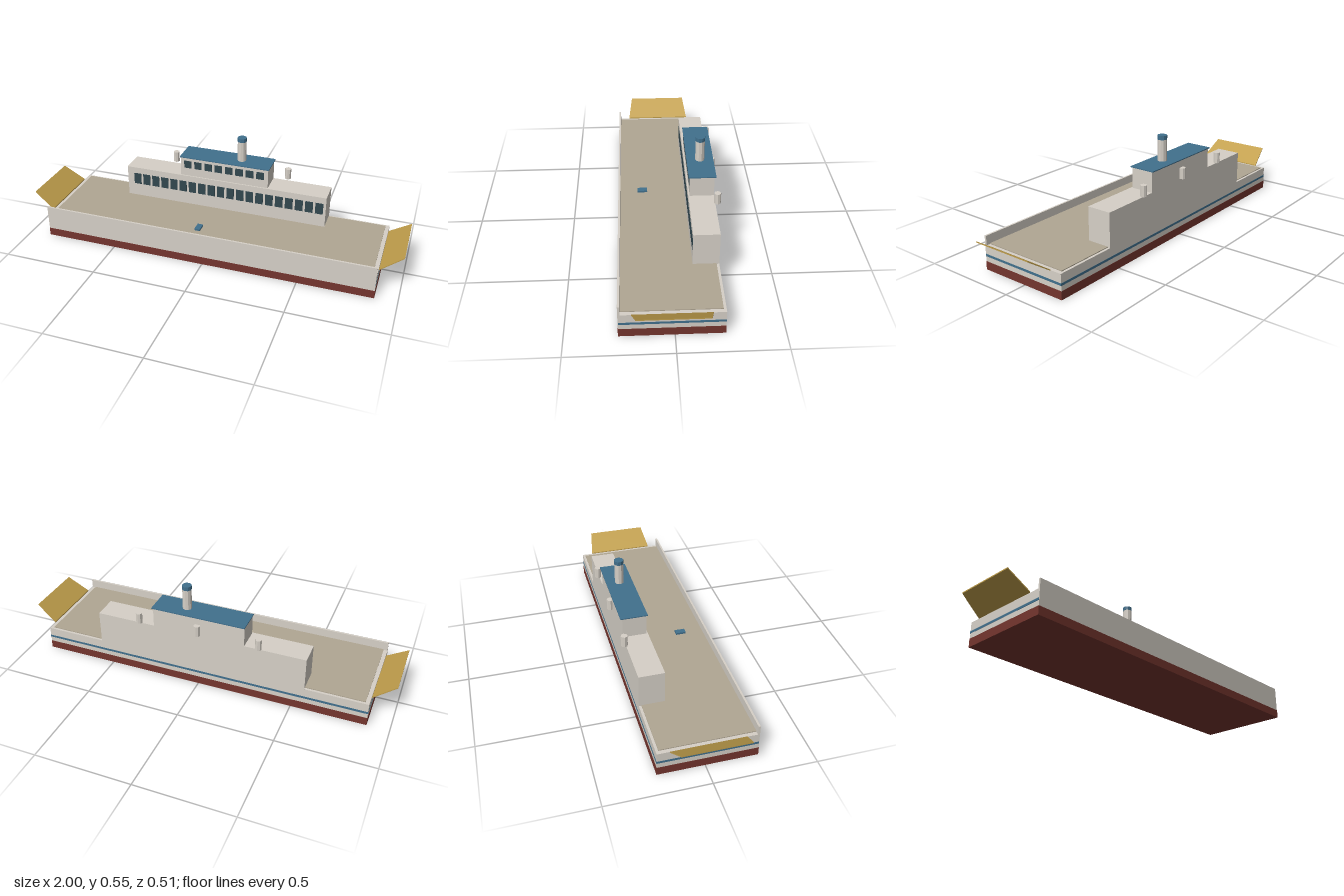
import * as THREE from 'three';

const mat = (name, color) => {
  const m = new THREE.MeshStandardMaterial({ color });
  m.name = name;
  return m;
};

export function createModel() {
  const ship = new THREE.Group();
  ship.name = 'ferry';
  const paint = mat('pale grey paint', 0xd6d0c7);
  const deckTan = mat('deck tan', 0xb0a693);
  const blue = mat('blue trim', 0x41708d);
  const red = mat('red bottom paint', 0x74352e);
  const glass = mat('dark glass', 0x32474f);
  const brass = mat('ramp ochre', 0xc19f4c);

  const add = (name, geo, material, x = 0, y = 0, z = 0, parent = ship) => {
    const m = new THREE.Mesh(geo, material);
    m.name = name;
    m.position.set(x, y, z);
    parent.add(m);
    return m;
  };
  // Box given by its limits on each axis
  const box = (name, material, [x0, x1], [y0, y1], [z0, z1], parent) =>
    add(name, new THREE.BoxGeometry(x1 - x0, y1 - y0, z1 - z0), material,
      (x0 + x1) / 2, (y0 + y1) / 2, (z0 + z1) / 2, parent);

  // Hull, bottom paint and trim stripe
  const L = 0.886, back = -0.228, front = 0.255, e = 0.001;
  box('hull', paint, [-L, L], [0.042, 0.126], [back, front]);
  box('bottomPaint', red, [-L - e, L + e], [0, 0.043], [back - e, front + e]);
  box('trimStripe', blue, [-L - e, L + e], [0.069, 0.081], [back - e, front - 0.002]);
  box('deck', deckTan, [-0.866, 0.866], [0.124, 0.13], [-0.215, 0.246]);
  box('frontBulwark', paint, [-L, L], [0.125, 0.174], [0.245, front]);
  box('deckHatch', blue, [-0.077, -0.047], [0.129, 0.14], [0.1, 0.152]);

  // Cabins and roof along the back edge
  box('mainCabin', paint, [-0.565, 0.561], [0.125, 0.302], [back, -0.1]);
  box('bridge', paint, [-0.247, 0.243], [0.3, 0.41], [back, -0.107]);
  box('bridgeRoof', blue, [-0.25, 0.248], [0.409, 0.414], [-0.237, -0.1]);

  // Window rows as thin plates
  const windowRow = (name, count, x0, x1, y0, y1, z) => {
    const row = new THREE.Group();
    row.name = name;
    ship.add(row);
    for (let i = 0; i < count; i++) {
      const x = x0 + (x1 - x0) * i / (count - 1);
      box('window', glass, [x - 0.021, x + 0.021], [y0, y1], [z - 0.001, z + 0.002], row);
    }
  };
  windowRow('cabinWindows', 20, -0.506, 0.526, 0.203, 0.267, -0.1);
  windowRow('bridgeWindows', 8, -0.206, 0.2, 0.348, 0.39, -0.107);

  // Funnel with cap
  const tube = (name, material, r, y0, y1, x, z, sides) => {
    const geo = new THREE.CylinderGeometry(r, r, y1 - y0, sides).toNonIndexed();
    geo.computeVertexNormals();
    add(name, geo, material, x, (y0 + y1) / 2, z);
  };
  tube('funnel', paint, 0.0235, 0.414, 0.526, 0.08, -0.168, 10);
  tube('funnelCap', blue, 0.0245, 0.525, 0.546, 0.08, -0.168, 10);

  // Vents on the back wall
  for (const x of [-0.323, 0, 0.32]) tube('vent', paint, 0.017, 0.311, 0.368, x, -0.237, 8);

  // Raised boarding ramps, tapering towards the outer edge
  for (const side of [-1, 1]) {
    const geo = new THREE.BoxGeometry(0.112, 0.006, 1);
    const p = geo.attributes.position;
    for (let i = 0; i < p.count; i++) {
      const outer = p.getX(i) * side > 0;
      p.setZ(i, Math.sign(p.getZ(i)) * (outer ? 0.162 : 0.181));
      p.setY(i, p.getY(i) + (outer ? 0.039 : -0.039));
    }
    geo.computeVertexNormals();
    add(side > 0 ? 'leftRamp' : 'rightRamp', geo, brass, side * 0.944, 0.166, 0.0125);
  }
  return ship;
}
